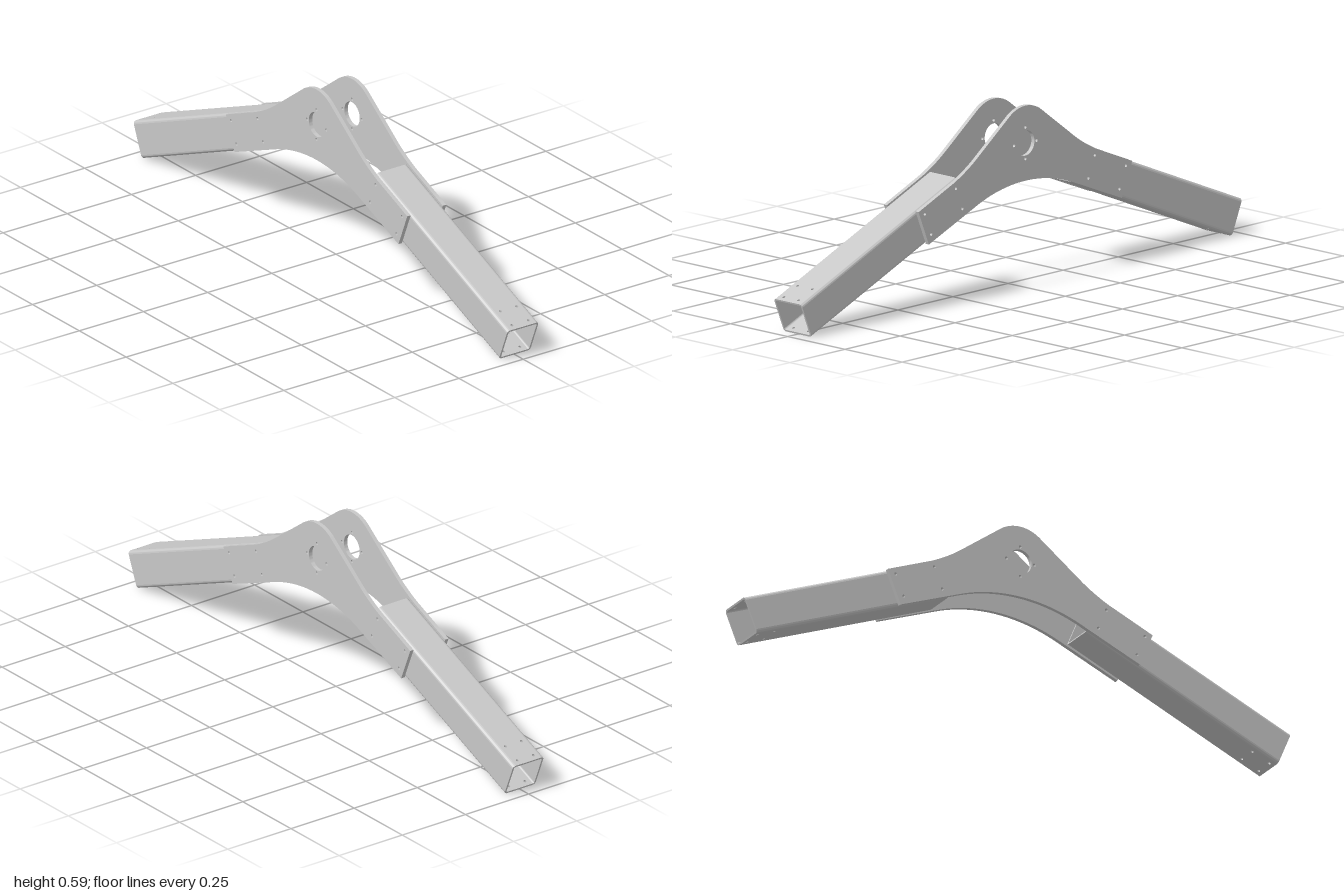
import * as THREE from 'three';
import { toCreasedNormals, mergeGeometries } from 'three/addons/utils/BufferGeometryUtils.js';

const SLOPE = Math.PI / 8;      // droop of each arm
const SIZE = 0.122;             // square tube section
const WALL = 0.006;
const RADIUS = 0.011;           // tube corner radius
const LENGTH = 0.76;
const BOLT = 0.005;
const END = new THREE.Vector2(0.977, 0.0564);   // centre of the tube's outer end
const boltU = [-0.58, -0.733], boltV = [-0.036, 0.04];

// Arm coordinates (u along the tube, v across it) to the front plane
function at(u, v) {
  const c = Math.cos(SLOPE), s = Math.sin(SLOPE);
  return new THREE.Vector2(END.x + u * c + v * s, END.y - u * s + v * c);
}

function addHole(shape, x, y, r) {
  shape.holes.push(new THREE.Path().absarc(x, y, r, 0, Math.PI * 2, true));
}

function extrude(shape, depth, curveSegments = 20) {
  const g = new THREE.ExtrudeGeometry(shape, { depth, curveSegments, bevelEnabled: false });
  return toCreasedNormals(g, 0.6);
}

// Hollow square tube with rounded corners and drilled walls
function tubeGeometry() {
  const parts = [];
  const flat = SIZE / 2 - RADIUS;
  const corner = new THREE.Shape();
  corner.absarc(flat, flat, RADIUS, 0, Math.PI / 2, false);
  corner.absarc(flat, flat, RADIUS - WALL, Math.PI / 2, 0, true);
  for (let k = 0; k < 4; k++) {
    const wall = new THREE.Shape();
    wall.moveTo(-LENGTH, -flat);
    wall.lineTo(0, -flat);
    wall.lineTo(0, flat);
    wall.lineTo(-LENGTH, flat);
    if (k % 2 === 0) {
      // side walls: bolts shared with the plates
      for (const u of boltU) for (const v of boltV) addHole(wall, u, k === 0 ? v : -v, BOLT);
    } else {
      // top and bottom walls: holes by the outer end
      for (const u of [-0.018, -0.085]) for (const v of [-0.032, 0.032]) addHole(wall, u, v, BOLT);
    }
    parts.push(extrude(wall, WALL, 12).translate(0, 0, SIZE / 2 - WALL).rotateX(k * Math.PI / 2));
    parts.push(extrude(corner, LENGTH, 6).rotateY(-Math.PI / 2).rotateX(k * Math.PI / 2));
  }
  return mergeGeometries(parts);
}

// Side plate outline: arched underside, rounded peak, straight ends over the tubes
function plateGeometry(depth) {
  const plate = new THREE.Shape();
  const h = SIZE / 2, endU = -0.558;
  const top = at(endU, h), low = at(endU, -h);
  const peakY = 0.467, peakR = 0.121, lean = 0.925;   // lean: start angle of the peak arc
  const archR = 0.585, archY = 0.345 - archR;
  const blend = at(-0.735, h);
  plate.moveTo(low.x, low.y);
  plate.lineTo(top.x, top.y);
  plate.lineTo(blend.x, blend.y);
  plate.quadraticCurveTo(0.263, 0.422, 0.22, 0.454);
  plate.absarc(0, peakY, peakR, lean, Math.PI - lean, false);
  plate.lineTo(-0.22, 0.454);
  plate.quadraticCurveTo(-0.263, 0.422, -blend.x, blend.y);
  plate.lineTo(-top.x, top.y);
  plate.lineTo(-low.x, low.y);
  plate.absarc(0, archY, archR, Math.PI / 2 + SLOPE, Math.PI / 2 - SLOPE, true);
  plate.closePath();

  // pivot bore and its four screw holes
  addHole(plate, 0, peakY, 0.041);
  for (const [x, y] of [[0.051, 0], [-0.051, 0], [0, 0.051], [0, -0.051]]) {
    addHole(plate, x, peakY + y, BOLT);
  }
  // bolt holes over each tube
  for (const u of boltU) for (const v of boltV) {
    const p = at(u, v);
    for (const side of [1, -1]) addHole(plate, side * p.x, p.y, BOLT);
  }
  return extrude(plate, depth, 24);
}

export function createModel() {
  const model = new THREE.Group();
  model.name = 'angledBracket';
  const steel = new THREE.MeshStandardMaterial({ color: 0xc8c8c8 });
  steel.name = 'light grey steel';

  // arms
  const tube = tubeGeometry();
  for (const [name, turn] of [['leftArm', 0], ['rightArm', Math.PI]]) {
    const arm = new THREE.Group();
    arm.name = name;
    arm.rotation.y = turn;
    const mesh = new THREE.Mesh(tube, steel);
    mesh.name = 'squareTube';
    mesh.position.set(END.x, END.y, 0);
    mesh.rotation.z = -SLOPE;
    arm.add(mesh);
    model.add(arm);
  }

  // side plates
  const thickness = 0.0135, gap = 0.0625;
  const plate = plateGeometry(thickness);
  for (const [name, z] of [['frontPlate', gap], ['backPlate', -gap - thickness]]) {
    const mesh = new THREE.Mesh(plate, steel);
    mesh.name = name;
    mesh.position.z = z;
    model.add(mesh);
  }
  return model;
}
